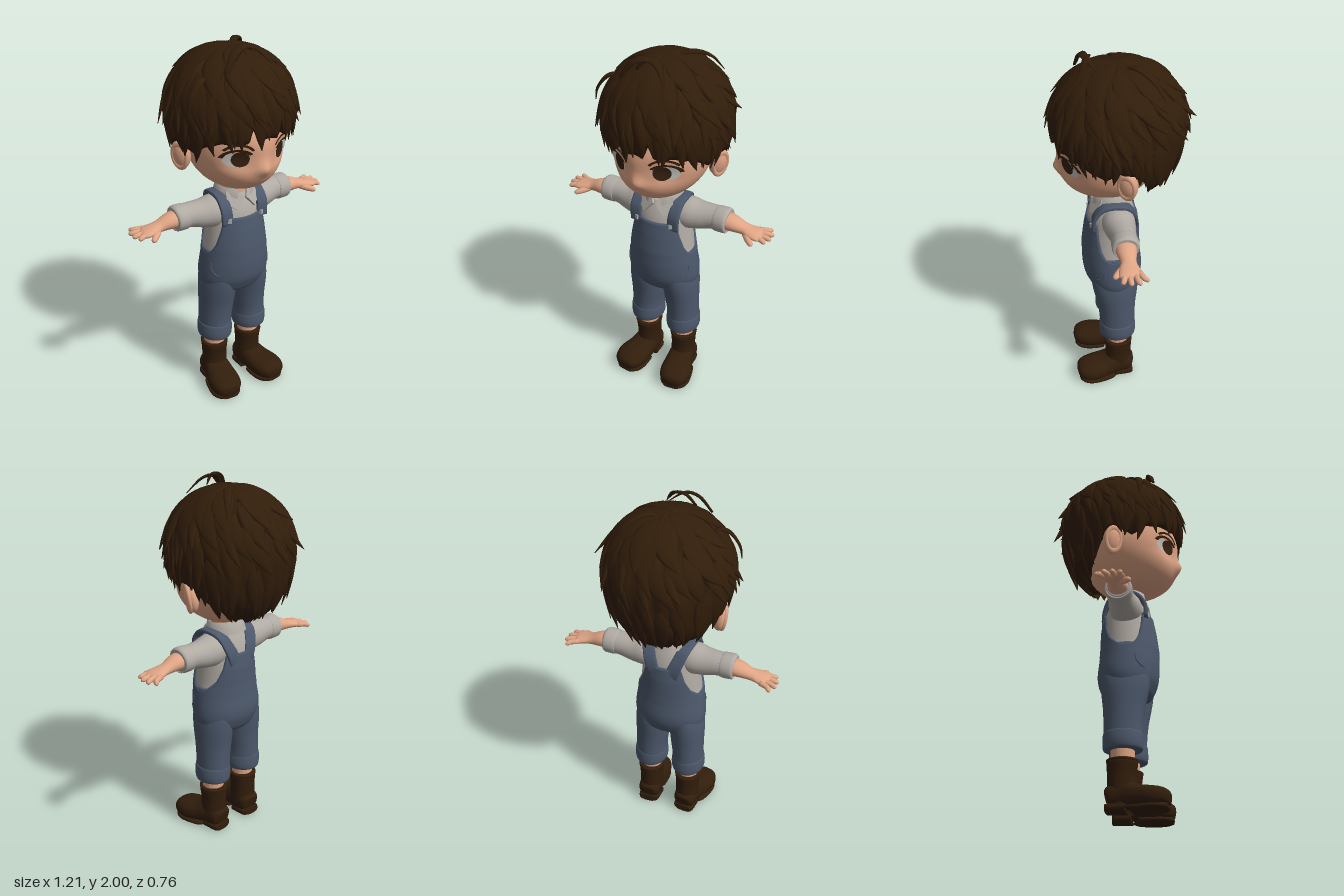
import * as THREE from 'three';

const mat = (name, color, side = THREE.FrontSide) => {
  const m = new THREE.MeshStandardMaterial({ color, side });
  m.name = name;
  return m;
};
const V = (x, y, z) => new THREE.Vector3(x, y, z);
const clamp = THREE.MathUtils.clamp;
const Y = V(0, 1, 0), Z = V(0, 0, 1);

// Linear lookup in rows of [key, value, ...]
function look(table, k) {
  let i = 0;
  while (i < table.length - 2 && k > table[i + 1][0]) i++;
  const a = table[i], b = table[i + 1], t = clamp((k - a[0]) / (b[0] - a[0]), 0, 1);
  return a.map((v, j) => v + (b[j] - v) * t);
}

function build(pos, idx) {
  const g = new THREE.BufferGeometry();
  g.setAttribute('position', new THREE.Float32BufferAttribute(pos, 3));
  g.setIndex(idx);
  g.computeVertexNormals();
  return g;
}

// Closed sweep through rows [x, y, z, halfWidth, halfHeight]; the height follows "up"
function sweep(rows, up, { n = 24, seg = 24, pow = 1 } = {}) {
  const path = new THREE.CatmullRomCurve3(rows.map(r => V(r[0], r[1], r[2])), false, 'catmullrom');
  const size = new THREE.CatmullRomCurve3(rows.map(r => V(r[3], r[4], 0)), false, 'catmullrom');
  const pos = [], idx = [], f = v => Math.sign(v) * Math.abs(v) ** pow;
  for (let i = 0; i <= n; i++) {
    const c = path.getPoint(i / n), s = size.getPoint(i / n), T = path.getTangent(i / n);
    const N = (typeof up === 'function' ? up(c) : up.clone());
    N.addScaledVector(T, -N.dot(T)).normalize();
    const B = N.clone().cross(T);
    for (let j = 0; j < seg; j++) {
      const a = j / seg * Math.PI * 2;
      const p = c.clone().addScaledVector(B, s.x * f(Math.cos(a))).addScaledVector(N, s.y * f(Math.sin(a)));
      pos.push(p.x, p.y, p.z);
      if (i < n) {
        const k = i * seg + j, l = i * seg + (j + 1) % seg;
        idx.push(k, l, k + seg, l, l + seg, k + seg);
      }
    }
  }
  const e = (n + 1) * seg;
  pos.push(...rows[0].slice(0, 3), ...rows[rows.length - 1].slice(0, 3));
  for (let j = 0; j < seg; j++) {
    const l = (j + 1) % seg;
    idx.push(e, l, j, e + 1, n * seg + j, n * seg + l);
  }
  return build(pos, idx);
}

// Open grid from a point function of column and row
function grid(nu, nv, fn) {
  const pos = [], idx = [], w = nu + 1;
  for (let j = 0; j <= nv; j++) for (let i = 0; i <= nu; i++) {
    pos.push(...fn(i, j).toArray());
    if (i < nu && j < nv) {
      const a = j * w + i;
      idx.push(a, a + 1, a + w, a + 1, a + w + 1, a + w);
    }
  }
  return build(pos, idx);
}

// Torso rows: [y, half width, centre z, half depth]
const BODY = [[.6, .1, .03, .07], [.64, .18, .03, .122], [.7, .196, .032, .148], [.75, .196, .036, .156], [.8, .19, .042, .155], [.9, .175, .045, .15],
  [1, .163, .04, .142], [1.1, .152, .037, .126], [1.17, .13, .035, .1], [1.21, .085, .035, .075]];
const bodyP = (y, a, off) => {
  const [, rx, cz, rz] = look(BODY, y);
  return V((rx + off) * Math.sin(a), y, cz + (rz + off) * Math.cos(a));
};
const bodyRows = (y0, y1, off) => Array.from({ length: 9 }, (_, i) => {
  const [y, rx, cz, rz] = look(BODY, y0 + (y1 - y0) * i / 8);
  return [0, y, cz, rx + off, rz + off];
});

// Face relief: chin forward, small nose, shallow eye sockets
const bump = (x, y) => .07 * clamp((1.42 - y) / .17, 0, 1) + .034 * Math.exp(-((x / .04) ** 2) - ((y - 1.4) / .04) ** 2)
  - .03 * Math.exp(-(((Math.abs(x) - .135) / .07) ** 2) - ((y - 1.47) / .06) ** 2);
const faceZ = (x, y) => {
  const f = Math.sqrt(Math.max(0, 1 - (x / .26) ** 2 - ((y - 1.5) / .27) ** 2));
  return .05 + f * (.27 + bump(x, y));
};
function facePatch(geo, cx, cy, rx, ry, off) {
  const p = geo.attributes.position;
  for (let i = 0; i < p.count; i++) {
    const x = cx + p.getX(i) * rx, y = cy + p.getY(i) * ry;
    p.setXYZ(i, x, y, faceZ(x, y) + off);
  }
  geo.computeVertexNormals();
  return geo;
}

// Hair surface by azimuth from the front and angle from the crown
const hairC = V(0, 1.65, 0);
const hairUp = c => c.clone().sub(hairC);
const hairP = (az, ph, off) => V((.33 + off) * Math.sin(ph) * Math.sin(az),
  1.65 + ((Math.cos(ph) > 0 ? .315 : .41) + off) * Math.cos(ph), (.345 + off) * Math.sin(ph) * Math.cos(az));
const HAIRLINE = [[0, 1.77], [.16, 1.78], [.24, 1.58], [.32, 1.78], [.7, 1.8], [1, 1.86], [1.25, 2.03], [1.5, 1.9], [1.75, 1.95],
  [2.1, 2.3], [2.6, 2.52], [Math.PI, 2.56]];
const fold = az => Math.abs(Math.atan2(Math.sin(az), Math.cos(az)));
const hairline = az => look(HAIRLINE, fold(az))[1];

export function createModel() {
  const root = new THREE.Group();
  root.name = 'boy';
  const skin = mat('skin', 0xe0a585), hair = mat('brown hair', 0x311d0a), denim = mat('blue denim', 0x4c586b, THREE.DoubleSide);
  const shirt = mat('grey shirt', 0xb0aaa3, THREE.DoubleSide), boot = mat('brown leather', 0x321e0c);
  const white = mat('eye white', 0xc4c2bd), iris = mat('dark iris', 0x35200f), metal = mat('buckle metal', 0xa9a9aa);
  const add = (name, geo, m, parent = root) => {
    const o = new THREE.Mesh(geo, m);
    o.name = name;
    parent.add(o);
    return o;
  };
  let seed = 7;
  const rnd = () => (seed = (seed * 16807) % 2147483647) / 2147483647;

  // Head and neck
  const head = new THREE.SphereGeometry(1, 72, 56), hp = head.attributes.position;
  for (let i = 0; i < hp.count; i++) {
    const x = hp.getX(i) * .26, y = 1.5 + hp.getY(i) * .27, z = hp.getZ(i);
    hp.setXYZ(i, x, y, .05 + z * .27 + Math.max(z, 0) * bump(x, y));
  }
  head.computeVertexNormals();
  add('head', head, skin);
  add('neck', new THREE.CylinderGeometry(.07, .078, .16, 28), skin).position.set(0, 1.21, .037);

  // Shirt body and collar band, open at the throat
  add('shirtBody', sweep(bodyRows(.8, 1.195, -.002), Z, { seg: 40 }), shirt);
  const band = add('collarBand', new THREE.LatheGeometry([[.112, 0], [.105, .03], [.093, .066], [.084, .062], [.086, 0]]
    .map(p => new THREE.Vector2(...p)), 36, .38, Math.PI * 2 - .76), shirt);
  band.position.set(0, 1.174, .037);
  band.rotation.x = .1;

  // Overalls: seat, bib and back panel
  add('overallsSeat', sweep(bodyRows(.6, .885, .007), Z, { seg: 40 }), denim);
  const panel = (name, mid, top, table) => add(name, grid(26, 20, (i, j) => {
    const y = .865 + (top - .865) * Math.min(j, 19) / 19;
    const u = clamp((i - 1) / 24, 0, 1) * 2 - 1;
    const edge = i === 0 || i === 26 || j === 20;
    return bodyP(y, mid + u * look(table, y)[1], edge ? -.006 : .009);
  }), denim);
  panel('bib', 0, 1.08, [[.865, 1.58], [.885, 1.3], [.93, 1.12], [1, .98], [1.08, .84]]);
  panel('backPanel', Math.PI, 1.08, [[.865, 1.58], [.885, 1.3], [.93, .98], [1, .78], [1.08, .65]]);

  // Lobed hair cap, tucked under at the hairline
  add('hairCap', grid(160, 26, (i, j) => {
    const az = i / 160 * Math.PI * 2, t = Math.min(25, 26 - j) / 25, ph = Math.max(.001, t * hairline(az));
    const groove = .006 * Math.sin(az * 9 - ph * 4) + .004 * Math.sin(az * 23 - ph * 5);
    return hairP(az, ph, j === 0 ? -.06 : groove * Math.min(1, ph * 1.5));
  }), hair);

  // Long swept locks lying on the cap, tips lifted
  const locks = new THREE.Group();
  locks.name = 'hairLocks';
  root.add(locks);
  const lock = (az0, ph0, az1, ph1, w, lift) => {
    const wide = [.35, .9, 1, .65, .04];
    const rows = wide.map((k, i) => {
      const t = i / 4, p = hairP(az0 + (az1 - az0) * t * t, ph0 + (ph1 - ph0) * t, -.004 + lift * t * t * t);
      return [p.x, p.y, p.z, w * k, .011 * k + .001];
    });
    add('hairLock', sweep(rows, hairUp, { n: 12, seg: 8 }), hair, locks);
  };
  // Upper rows: [count, tip angle, length, half width]
  for (const [n, end, len, w] of [[10, 1.05, .9, .06], [15, 1.35, 1, .055], [20, 1.6, .9, .045]])
    for (let i = 0; i < n; i++) {
      const az = (i + rnd() * .6) / n * Math.PI * 2, tip = end + (rnd() - .5) * .3;
      lock(az, tip - len, az + .12 + rnd() * .3, tip, w * (.8 + rnd() * .4), .01 + rnd() * .02);
    }
  // Hairline rows, parted over the forehead: [count, overshoot, length, half width, lift]
  for (const [n, end, len, w, lift] of [[32, -.2, .7, .036, .03], [50, .07, .6, .03, .012]])
    for (let i = 0; i < n; i++) {
      const az = (i + rnd() * .7) / n * Math.PI * 2, swing = (rnd() - .3) * .3;
      const tip = hairline(az + swing) + end + (rnd() - .5) * .12;
      if (Math.abs(fold(az + swing) - .24) > .085) lock(az, tip - len, az + swing, tip, w * (.8 + rnd() * .4), lift + rnd() * .012);
    }
  // Flicked tips at the sides and back
  for (const [az, ph] of [[1.35, 1.5], [1.6, 1.64], [1.85, 1.4], [1.5, 1.78], [2.5, 1.6], [2.9, 1.45], [3.3, 1.7], [3.7, 1.55], [4.4, 1.72], [4.7, 1.55], [4.95, 1.68]])
    lock(az - .2, ph - .6, az, ph, .026, .05);
  // Loose strands on the crown
  for (const r of [[[-.15, 1.89, .2], [-.09, 1.97, .18], [-.02, 1.99, .16], [.05, 1.95, .12]],
    [[-.08, 1.93, .16], [-.03, 1.985, .15], [.04, 1.975, .17], [.1, 1.9, .22]],
    [[.02, 1.94, -.02], [.09, 1.965, -.08], [.16, 1.93, -.15], [.21, 1.85, -.2]],
    [[-.2, 1.86, .1], [-.265, 1.84, .13], [-.32, 1.77, .14], [-.335, 1.7, .14]]])
    add('looseStrand', sweep(r.map((p, i) => [...p, [.012, .022, .018, .002][i], [.006, .008, .007, .002][i]]),
      hairUp, { n: 14, seg: 8 }), hair, locks);

  for (const s of [1, -1]) {
    const side = s > 0 ? 'left' : 'right';
    const M = rows => rows.map(([x, ...r]) => [x * s, ...r]);

    // Ear with rim
    const ear = new THREE.Group();
    ear.name = side + 'Ear';
    ear.position.set(.283 * s, 1.437, -.014);
    ear.rotation.set(0, -.5 * s, -.14 * s);
    root.add(ear);
    add('earLobe', new THREE.SphereGeometry(1, 24, 18), skin, ear).scale.set(.036, .08, .052);
    const rim = add('earRim', new THREE.TorusGeometry(.042, .012, 10, 28), skin, ear);
    rim.rotation.y = Math.PI / 2;
    rim.position.x = .018 * s;
    rim.scale.set(.95, 1.55, 1);

    // Eye, lash and brow as thin skins on the face
    const disc = () => new THREE.RingGeometry(0, 1, 28, 4);
    add(side + 'EyeWhite', facePatch(disc(), .135 * s, 1.465, .06, .04, .004), white);
    add(side + 'Iris', facePatch(disc(), .12 * s, 1.467, .04, .042, .007), iris);
    add(side + 'Lash', facePatch(new THREE.RingGeometry(.93, 1.2, 24, 2, s > 0 ? .1 : .5, 2.5), .135 * s, 1.468, .064, .045, .008), hair);
    add(side + 'Brow', facePatch(new THREE.RingGeometry(.85, 1, 20, 2, .6, 1.9), .13 * s, 1.47, .085, .08, .005), hair);

    // Collar flap
    const flap = new THREE.Shape(M([[.004, .05], [.055, -.005], [.1, .035], [.09, .1], [.045, .115]]).map(p => new THREE.Vector2(...p)));
    const fg = add(side + 'CollarFlap', new THREE.ExtrudeGeometry(flap, { depth: .012, bevelEnabled: false }), shirt);
    fg.position.set(0, 1.135, .163);
    fg.rotation.set(-.5, .32 * s, 0);

    // Strap over the shoulder and its buckle
    add(side + 'Strap', sweep(M([[.108, 1.05, .146, .034, .01], [.113, 1.13, .14, .032, .011], [.113, 1.185, .095, .032, .012], [.112, 1.198, .035, .032, .012],
      [.1, 1.18, -.035, .033, .011], [.078, 1.12, -.074, .035, .01], [.056, 1.06, -.09, .036, .008], [.04, 1, -.09, .034, .004]]),
      c => c.clone().sub(V(c.x, 1.06, .035)), { n: 40, seg: 20, pow: .5 }), denim);
    const buckle = add(side + 'Buckle', new THREE.BoxGeometry(.035, .026, .012), metal);
    buckle.position.set(.108 * s, 1.072, .151);
    buckle.rotation.y = .5 * s;

    // Pocket seam
    add(side + 'PocketSeam', sweep([[.82, 1.25], [.78, 1.18], [.755, 1.02], [.745, .88]].map(([y, a]) =>
      [...bodyP(y, a * s, .006).toArray(), .005, .004]), c => V(c.x, 0, c.z), { seg: 8 }), denim);

    // Trouser leg, rolled cuff and ankle
    add(side + 'TrouserLeg', sweep(M([[.098, .76, .034, .07, .1], [.1, .72, .034, .088, .126], [.102, .66, .031, .097, .126], [.104, .6, .028, .098, .118],
      [.107, .53, .025, .095, .107], [.112, .44, .022, .09, .1], [.113, .34, .022, .09, .1]]), Z, { n: 32, seg: 32 }), denim);
    add(side + 'Cuff', sweep(M([[.115, .312, .022, .078, .088], [.115, .318, .022, .09, .1], [.115, .345, .022, .096, .104],
      [.115, .38, .022, .095, .103], [.114, .402, .022, .091, .1], [.114, .406, .022, .08, .09]]), Z, { seg: 32 }), denim);
    add(side + 'Ankle', new THREE.CylinderGeometry(.063, .058, .13, 24), skin).position.set(.115 * s, .28, .02);

    // Boot: shaft, rim, foot, sole and heel
    add(side + 'BootShaft', sweep(M([[.115, .03, .015, .06, .07], [.115, .1, .018, .068, .077], [.115, .18, .016, .068, .074], [.116, .255, .018, .073, .08]]),
      Z, { seg: 28 }), boot);
    add(side + 'BootRim', sweep(M([[.116, .25, .018, .07, .076], [.116, .254, .018, .075, .081], [.116, .264, .018, .075, .081], [.116, .268, .018, .068, .075]]),
      Z, { seg: 28 }), boot);
    add(side + 'BootFoot', sweep(M([[.113, .07, -.06, .04, .04], [.114, .075, -.04, .062, .06], [.118, .088, .03, .07, .07], [.13, .073, .1, .081, .062],
      [.145, .064, .165, .089, .059], [.152, .06, .215, .08, .052], [.156, .052, .249, .055, .036], [.157, .05, .259, .02, .015]]),
      Y, { n: 40, seg: 28, pow: .85 }), boot);
    add(side + 'BootSole', sweep(M([[.128, .024, .058, .06, .008], [.134, .014, .08, .074, .013], [.145, .014, .165, .086, .014], [.152, .015, .218, .074, .014],
      [.156, .02, .249, .044, .014]]), Y, { pow: .6 }), boot);
    add(side + 'BootHeel', sweep(M([[.113, .022, -.062, .04, .022], [.114, .022, -.045, .06, .022], [.116, .022, .04, .066, .022]]), Y, { pow: .6 }), boot);

    // Arm: sleeve, rolled sleeve end, forearm with palm, fingers
    const arm = new THREE.Group();
    arm.name = side + 'Arm';
    arm.position.z = s > 0 ? -.006 : .018;
    root.add(arm);
    add('sleeve', sweep(M([[.07, 1.1, .025, .085, .085], [.14, 1.1, .02, .088, .088], [.2, 1.1, .015, .078, .078], [.27, 1.108, .01, .067, .067],
      [.35, 1.11, .01, .066, .065]]), Y), shirt, arm);
    add('sleeveEnd', sweep(M([[.295, 1.108, .01, .06, .06], [.3, 1.108, .01, .069, .068], [.33, 1.109, .01, .072, .07], [.362, 1.11, .01, .07, .068],
      [.368, 1.11, .01, .056, .054]]), Y), shirt, arm);
    add('forearm', sweep(M([[.33, 1.11, .01, .055, .046], [.39, 1.105, .01, .052, .042], [.45, 1.092, .008, .04, .03], [.49, 1.086, .01, .05, .024],
      [.535, 1.08, .008, .058, .02], [.558, 1.076, .004, .042, .012]]), Y), skin, arm);
    for (const [z0, x1, z1] of [[-.036, .585, -.068], [-.012, .606, -.03], [.014, .606, .012], [.038, .592, .05]])
      add('finger', sweep(M([[.52, 1.08, z0, .015, .015], [(.535 + x1) / 2, 1.078, (z0 + z1) / 2, .0145, .014], [x1 - .009, 1.073, z1, .0125, .012],
        [x1, 1.071, z1, .005, .005]]), Y, { n: 10, seg: 12 }), skin, arm);
    add('thumb', sweep(M([[.47, 1.08, .03, .02, .018], [.5, 1.07, .062, .018, .017], [.525, 1.062, .084, .014, .013], [.533, 1.06, .09, .005, .005]]),
      Y, { n: 10, seg: 12 }), skin, arm);
  }
  return root;
}
